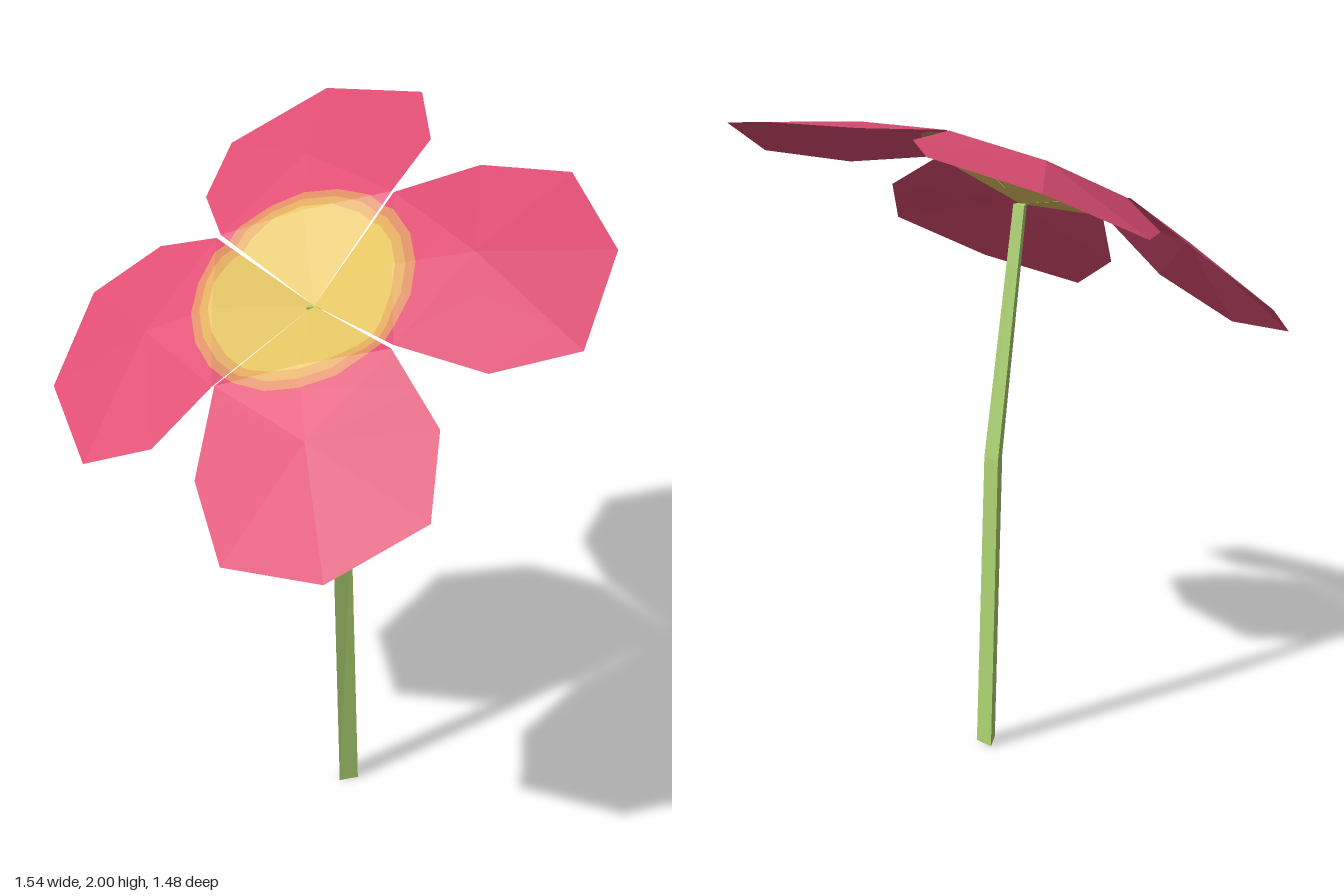
import * as THREE from 'three';

const colour = (name, color, extra = {}) => {
  const m = new THREE.MeshStandardMaterial({ color, side: THREE.DoubleSide, flatShading: true, ...extra });
  m.name = name;
  return m;
};
const V = (x, y, z) => new THREE.Vector3(x, y, z);

// Flower centre and the direction it faces
const CENTRE = V(-0.025, 1.67, 0.03);
const AXIS = V(-0.31, 0.845, 0.434).normalize();
const SIDE_U = V(1, 0, 0).cross(AXIS).normalize();
const SIDE_V = AXIS.clone().cross(SIDE_U);

// Petal outlines, counter-clockwise from above: corner, side, far, tip, far, side, corner
const PETALS = {
  backPetal: [[0.15, 1.93, -0.165], [0.22, 1.973, -0.405], [0.16, 2, -0.642], [-0.13, 1.943, -0.74],
    [-0.39, 1.797, -0.635], [-0.415, 1.74, -0.4], [-0.32, 1.755, -0.16]],
  rightHandPetal: [[-0.33, 1.75, -0.15], [-0.52, 1.64, -0.273], [-0.717, 1.482, -0.253], [-0.773, 1.323, 0.01],
    [-0.622, 1.25, 0.275], [-0.41, 1.365, 0.34], [-0.25, 1.552, 0.297]],
  frontPetal: [[-0.242, 1.557, 0.3], [-0.265, 1.36, 0.46], [-0.16, 1.225, 0.645], [0.13, 1.275, 0.74],
    [0.385, 1.425, 0.638], [0.378, 1.587, 0.45], [0.226, 1.72, 0.297]],
  leftHandPetal: [[0.23, 1.724, 0.285], [0.482, 1.69, 0.327], [0.715, 1.74, 0.255], [0.77, 1.895, -0.01],
    [0.62, 1.975, -0.273], [0.373, 1.967, -0.287], [0.157, 1.93, -0.16]],
};

// Cut a convex polygon by a plane: [inside, outside]
function split(poly, normal, limit) {
  const inside = [], outside = [];
  poly.forEach((a, i) => {
    const b = poly[(i + 1) % poly.length];
    const da = a.clone().sub(CENTRE).dot(normal) - limit;
    const db = b.clone().sub(CENTRE).dot(normal) - limit;
    if (da <= 0) inside.push(a);
    if (da >= 0) outside.push(a);
    if (da * db < 0) {
      const p = a.clone().lerp(b, da / (da - db));
      inside.push(p);
      outside.push(p);
    }
  });
  return [inside, outside];
}

// Separate the part of each polygon lying inside a round band edge
function cutDisc(polys, radius, sides = 20) {
  const inner = [], outer = [];
  for (let rest of polys) {
    for (let i = 0; i < sides && rest.length > 2; i++) {
      const t = (i / sides) * Math.PI * 2;
      const n = SIDE_U.clone().multiplyScalar(Math.cos(t)).addScaledVector(SIDE_V, Math.sin(t));
      const [a, b] = split(rest, n, radius);
      if (b.length > 2) outer.push(b);
      rest = a;
    }
    if (rest.length > 2) inner.push(rest);
  }
  return [inner, outer];
}

function polyMesh(name, polys, material) {
  const pos = [];
  for (const p of polys)
    for (let i = 1; i < p.length - 1; i++)
      for (const v of [p[0], p[i], p[i + 1]]) pos.push(v.x, v.y, v.z);
  const g = new THREE.BufferGeometry();
  g.setAttribute('position', new THREE.Float32BufferAttribute(pos, 3));
  g.computeVertexNormals();
  const mesh = new THREE.Mesh(g, material);
  mesh.name = name;
  return mesh;
}

// Creased petal triangles with a raised midrib
function petalFaces(points) {
  const [c0, s0, f0, tip, f1, s1, c1] = points.map((p) => V(...p));
  const rib = (a, b, lift) => a.clone().lerp(b, 0.5).addScaledVector(AXIS, lift);
  const m1 = rib(c0, c1, 0.015), m2 = rib(s0, s1, 0.07);
  return [
    [CENTRE, c0, m1], [CENTRE, m1, c1],
    [c0, s0, m2], [c0, m2, m1], [m1, m2, c1], [m2, s1, c1],
    [s0, f0, m2], [f0, tip, m2], [m2, tip, f1], [m2, f1, s1],
  ];
}

export function createModel() {
  const group = new THREE.Group();
  group.name = 'flower';
  const pink = colour('petal pink', 0xe04e74);
  const stemGreen = colour('stem green', 0xb0d675, { side: THREE.FrontSide });
  const bands = [
    ['outerRing', 0.318, colour('ring orange', 0xdc8c62)],
    ['innerRing', 0.292, colour('ring tan', 0xdfaa5e)],
    ['yellowCentre', 0.265, colour('centre yellow', 0xe4c564)],
  ];

  // Petals, with the round centre marked in rings
  for (const [name, points] of Object.entries(PETALS)) {
    const petal = new THREE.Group();
    petal.name = name;
    let polys = petalFaces(points), label = 'petalBlade', material = pink;
    for (const [bandName, radius, bandMaterial] of bands) {
      const [inner, outer] = cutDisc(polys, radius);
      petal.add(polyMesh(label, outer, material));
      [polys, label, material] = [inner, bandName, bandMaterial];
    }
    petal.add(polyMesh(label, polys, material));
    group.add(petal);
  }

  // Three-sided bent stem
  const rings = [
    [0, [[0.048, 0.015], [0.1, -0.01], [0.055, -0.045]]],
    [0.93, [[0.024, 0.01], [0.073, -0.018], [0.032, -0.05]]],
    [1.67, [[-0.043, 0.045], [-0.006, 0.03], [-0.037, 0.01]]],
  ].map(([y, pts]) => pts.map(([x, z]) => V(x, y, z)));
  const faces = [[...rings[0]].reverse(), rings[2]];
  for (let r = 0; r < 2; r++)
    for (let i = 0; i < 3; i++) {
      const j = (i + 1) % 3;
      faces.push([rings[r][i], rings[r][j], rings[r + 1][j], rings[r + 1][i]]);
    }
  group.add(polyMesh('stem', faces, stemGreen));
  return group;
}
